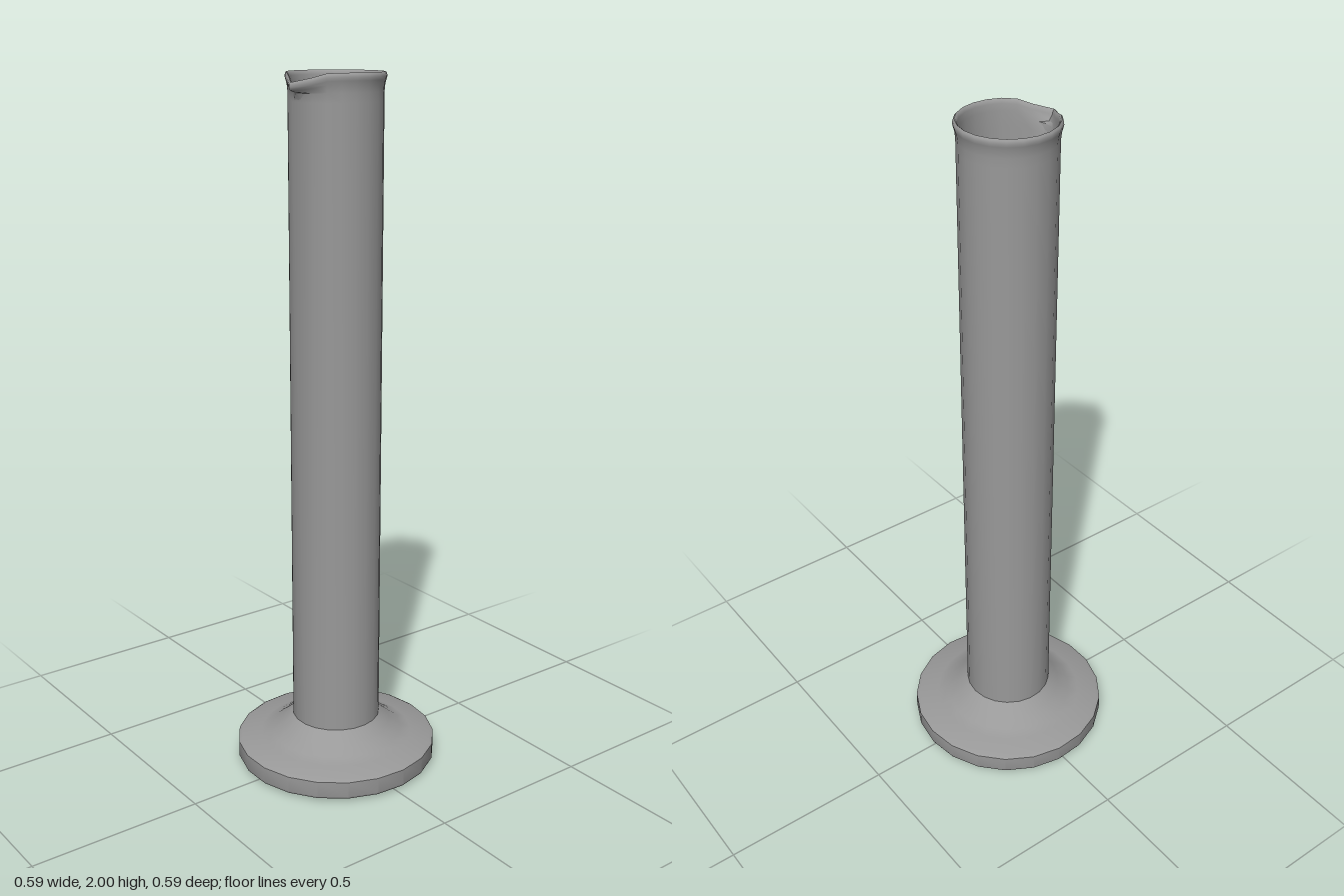
import * as THREE from 'three';
import { toCreasedNormals } from 'three/addons/utils/BufferGeometryUtils.js';

const SIDES = 21;
const SPOUT_ANGLE = (10 / SIDES) * Math.PI * 2; // direction of the pouring lip
const SPOUT_HALF = 0.65;                        // half width of the lip in radians

const material = new THREE.MeshStandardMaterial({ color: 0x999999, side: THREE.DoubleSide });

function lathe(profile) {
  const points = profile.map(([r, y]) => new THREE.Vector2(r, y));
  const geometry = new THREE.LatheGeometry(points, SIDES);
  return geometry.rotateY(Math.PI / 2); // puts a corner on +x
}

// Creases are found at a larger scale, so thin walls keep separate normals.
function part(name, geometry, creaseAngle) {
  geometry.scale(10, 10, 10);
  const creased = toCreasedNormals(geometry, creaseAngle);
  creased.scale(0.1, 0.1, 0.1);
  const mesh = new THREE.Mesh(creased, material);
  mesh.name = name;
  return mesh;
}

// Pulls the rim out to a slightly hollow-sided point, and dips it there.
function pullSpout(geometry) {
  const pos = geometry.attributes.position;
  for (let i = 0; i < pos.count; i++) {
    const x = pos.getX(i), y = pos.getY(i), z = pos.getZ(i);
    const turn = Math.atan2(z, x) - SPOUT_ANGLE;
    const delta = Math.abs(Math.atan2(Math.sin(turn), Math.cos(turn)));
    if (delta >= SPOUT_HALF) continue;
    const near = 1 - delta / SPOUT_HALF;
    const weight = THREE.MathUtils.smoothstep(y, 1.94, 1.985);
    const stretch = 1 + 0.26 * weight * near ** 2.6;
    pos.setXYZ(i, x * stretch, y - 0.024 * weight * near, z * stretch);
  }
  return geometry;
}

export function createModel() {
  const group = new THREE.Group();
  group.name = 'measuringCylinder';

  // Wide foot: flat disc with a concave cone rising to the tube
  group.add(part('foot', lathe([
    [0, 0], [0.06, 0.002], [0.292, 0.01], [0.295, 0.016], [0.295, 0.062],
    [0.285, 0.068], [0.225, 0.075], [0.195, 0.086], [0.16, 0.113], [0.129, 0.138],
  ]), 0.5));

  // Hollow tube: outer wall, rolled rim, inner wall and dished floor
  group.add(part('tube', pullSpout(lathe([
    [0.129, 0.137], [0.129, 1.925], [0.129, 1.95], [0.131, 1.97], [0.134, 1.98],
    [0.136, 1.988], [0.135, 1.996], [0.131, 2], [0.127, 1.997],
    [0.125, 1.988], [0.124, 1.97], [0.124, 1.925], [0.124, 0.1], [0.06, 0.085], [0, 0.08],
  ])), 1));

  return group;
}
